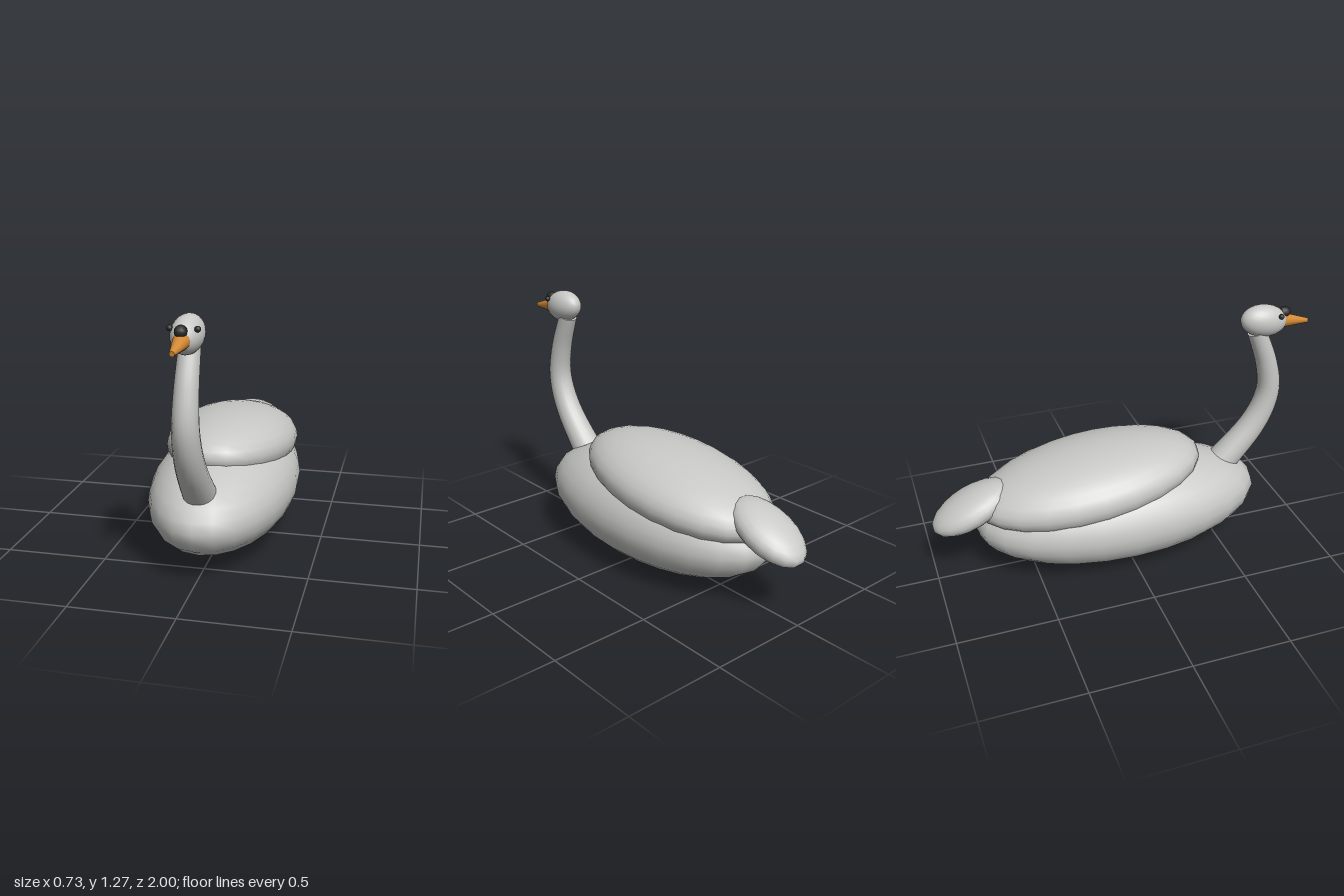
import * as THREE from 'three';

const plumage = new THREE.MeshStandardMaterial({ name: 'plumageGrey', color: 0xc8c8c6 });
const orange = new THREE.MeshStandardMaterial({ name: 'beakOrange', color: 0xd48a35 });
const black = new THREE.MeshStandardMaterial({ name: 'eyeBlack', color: 0x2c2c2c });

export function createModel() {
  const model = new THREE.Group();
  model.name = 'swan';

  const add = (name, geometry, material) => {
    const mesh = new THREE.Mesh(geometry, material);
    mesh.name = name;
    model.add(mesh);
    return mesh;
  };

  // Ellipsoid with half sizes, centre and a pitch about x (positive tips the front down)
  const ellipsoid = (name, size, centre, pitch = 0, material = plumage, segments = 24) => {
    const geometry = new THREE.SphereGeometry(1, segments, Math.round(segments * 2 / 3));
    geometry.scale(...size);
    const mesh = add(name, geometry, material);
    mesh.position.set(...centre);
    mesh.rotation.x = pitch;
    return mesh;
  };

  // Body, folded wings and tail
  ellipsoid('body', [0.365, 0.27, 0.76], [0, 0.275, -0.02]);
  ellipsoid('foldedWings', [0.33, 0.18, 0.6], [0, 0.457, -0.18], -0.113);
  ellipsoid('tail', [0.143, 0.084, 0.223], [0, 0.41, -0.795], -0.44, plumage, 18);

  // Neck: an S curve whose tube narrows towards the head
  const curve = new THREE.CatmullRomCurve3([
    [0.5, 0.345], [0.587, 0.43], [0.726, 0.59], [0.788, 0.708],
    [0.809, 0.815], [0.785, 0.96], [0.717, 1.143],
  ].map(([z, y]) => new THREE.Vector3(0, y, z)));
  const rings = 28, sides = 18;
  const neck = new THREE.TubeGeometry(curve, rings, 1, sides);
  const point = new THREE.Vector3();
  const radiusAt = (t) => THREE.MathUtils.lerp(0.086, 0.049, Math.pow(t, 0.8));
  for (let i = 0; i < neck.attributes.position.count; i++) {
    const t = Math.floor(i / (sides + 1)) / rings;
    const centre = curve.getPointAt(t);
    point.fromBufferAttribute(neck.attributes.position, i).sub(centre);
    point.multiplyScalar(radiusAt(t)).add(centre);
    neck.attributes.position.setXYZ(i, point.x, point.y, point.z);
  }
  add('neck', neck, plumage);
  const cap = add('neckTop', new THREE.CircleGeometry(radiusAt(1), sides), plumage);
  cap.position.copy(curve.getPointAt(1));
  cap.quaternion.setFromUnitVectors(new THREE.Vector3(0, 0, 1), curve.getTangentAt(1));

  // Head with the knob above the beak, and the eyes
  ellipsoid('head', [0.072, 0.083, 0.125], [0, 1.195, 0.75], 0.16);
  ellipsoid('beakKnob', [0.028, 0.028, 0.034], [0, 1.226, 0.862], 0, black, 12);
  for (const side of [-1, 1]) {
    ellipsoid(side > 0 ? 'leftEye' : 'rightEye', [0.014, 0.014, 0.014],
      [side * 0.06, 1.23, 0.817], 0, black, 12);
  }

  // Beak: a blunt cone sloping slightly down
  const base = new THREE.Vector3(0, 1.186, 0.84);
  const tip = new THREE.Vector3(0, 1.161, 0.998);
  const beak = add('beak', new THREE.CylinderGeometry(0.012, 0.041, base.distanceTo(tip), 12), orange);
  beak.position.copy(base).lerp(tip, 0.5);
  beak.quaternion.setFromUnitVectors(new THREE.Vector3(0, 1, 0), tip.clone().sub(base).normalize());

  return model;
}
